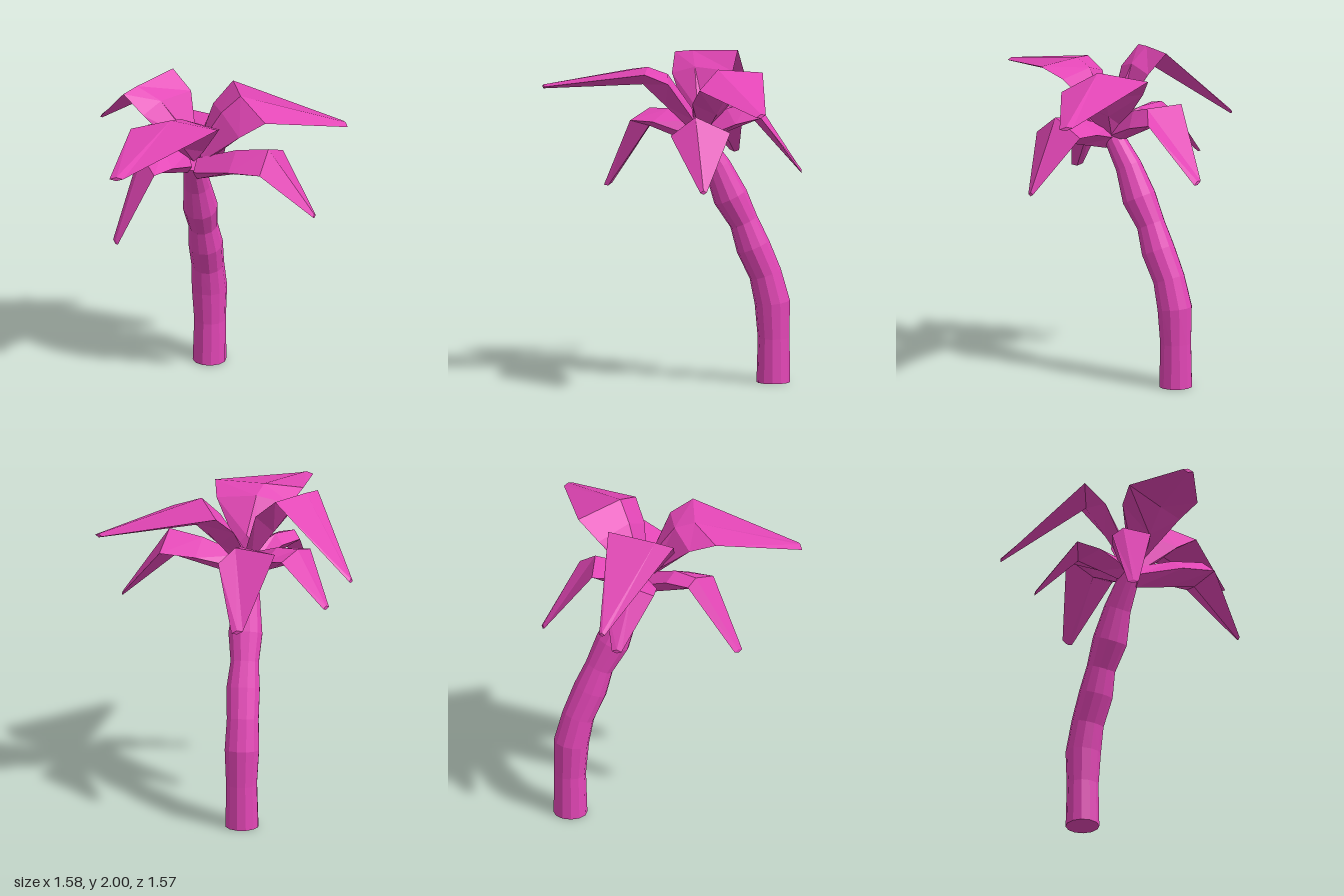
import * as THREE from 'three';

const V = (a) => new THREE.Vector3(...a);

// Skins a list of rings (counter-clockwise about the path), with both ends closed.
function loft(rings) {
  const pos = [];
  const tri = (...pts) => pts.forEach((p) => pos.push(p.x, p.y, p.z));
  const n = rings[0].length;
  for (let i = 0; i < rings.length - 1; i++) {
    for (let j = 0; j < n; j++) {
      const k = (j + 1) % n;
      const [a, b, c, d] = [rings[i][j], rings[i][k], rings[i + 1][j], rings[i + 1][k]];
      tri(a, b, c);
      tri(b, d, c);
    }
  }
  const first = rings[0], last = rings[rings.length - 1];
  for (let j = 1; j < n - 1; j++) {
    tri(first[0], first[j + 1], first[j]);
    tri(last[0], last[j], last[j + 1]);
  }
  const g = new THREE.BufferGeometry();
  g.setAttribute('position', new THREE.Float32BufferAttribute(pos, 3));
  g.computeVertexNormals();
  return g;
}

// Trunk stations: x, y, z, radius
const TRUNK = [
  [-0.15, 0, -0.613, 0.102], [-0.148, 0.27, -0.615, 0.096], [-0.148, 0.485, -0.607, 0.107],
  [-0.14, 0.66, -0.565, 0.099], [-0.12, 0.83, -0.492, 0.104], [-0.113, 0.98, -0.437, 0.088],
  [-0.093, 1.135, -0.357, 0.106], [-0.08, 1.32, -0.28, 0.082], [-0.05, 1.52, -0.16, 0.06],
];

function trunkGeometry(sides = 12) {
  const rings = TRUNK.map(([x, y, z, r], i) => {
    const p = V([x, y, z]);
    const before = V(TRUNK[Math.max(i - 1, 0)]), after = V(TRUNK[Math.min(i + 1, TRUNK.length - 1)]);
    const t = i === 0 ? V([0, 1, 0]) : after.sub(before).normalize();
    const v = V([1, 0, 0]).cross(t).negate().normalize();
    const u = v.clone().cross(t).normalize();
    return Array.from({ length: sides }, (_, j) => {
      const a = (j / sides) * Math.PI * 2;
      return p.clone().addScaledVector(u, r * Math.cos(a)).addScaledVector(v, r * Math.sin(a));
    });
  });
  return loft(rings);
}

// Each frond: root, then left edge, ridge and right edge at its widest, then tip and its half width.
// The neck between root and widest section is arched by rise and broadened by bulge.
const FRONDS = [
  { name: 'frontFrond', root: [-0.03, 1.61, -0.13], left: [0.25, 1.92, 0.14], ridge: [-0.06, 1.925, 0.14], right: [-0.27, 1.88, 0.26], tip: [-0.13, 1.79, 0.775], tipWidth: 0.042, rise: 0.07, bulge: 0.05 },
  { name: 'backLeftFrond', root: [-0.03, 1.55, -0.19], left: [0.03, 1.91, -0.56], ridge: [0.2, 1.95, -0.3], right: [0.41, 1.85, -0.2], tip: [0.76, 1.75, -0.595], tipWidth: 0.04, rise: 0.04, bulge: 0.04 },
  { name: 'rightFrond', root: [-0.07, 1.6, -0.16], left: [-0.44, 1.965, 0], ridge: [-0.4, 1.98, -0.11], right: [-0.29, 2, -0.39], tip: [-0.785, 1.565, -0.445], tipWidth: 0.018, rise: 0.06, bulge: 0.06 },
  { name: 'backFrond', root: [-0.06, 1.52, -0.19], left: [-0.32, 1.7, -0.49], ridge: [-0.06, 1.71, -0.46], right: [0.02, 1.63, -0.55], tip: [-0.17, 1.285, -0.78], tipWidth: 0.035, rise: 0.02, bulge: 0.02 },
  { name: 'leftLowFrond', root: [-0.02, 1.49, -0.15], left: [0.44, 1.6, -0.39], ridge: [0.44, 1.695, -0.18], right: [0.45, 1.58, -0.03], tip: [0.715, 1.275, -0.245], tipWidth: 0.02, rise: 0.02, bulge: 0.02 },
  { name: 'frontLowFrond', root: [-0.07, 1.53, -0.13], left: [-0.12, 1.59, 0.25], ridge: [-0.25, 1.65, 0.14], right: [-0.3, 1.61, 0.09], tip: [-0.31, 1.175, 0.395], tipWidth: 0.035, rise: 0.03, bulge: 0.02 },
  { name: 'rightLowFrond', root: [-0.08, 1.52, -0.17], left: [-0.43, 1.63, -0.12], ridge: [-0.39, 1.665, -0.25], right: [-0.34, 1.63, -0.42], tip: [-0.6, 1.345, -0.35], tipWidth: 0.03, rise: 0.02, bulge: 0.02 },
];

function frondGeometry(f) {
  const root = V(f.root), tip = V(f.tip);
  const left = V(f.left), ridge = V(f.ridge), right = V(f.right);
  const keel = left.clone().lerp(right, 0.5).lerp(root, 0.1);
  keel.y -= 0.045;
  const wide = [left, ridge, right, keel];
  const across = left.clone().sub(right).normalize();
  // small diamond section for the two ends
  const end = (p, w, h) => [
    p.clone().addScaledVector(across, w), p.clone().add(V([0, h, 0])),
    p.clone().addScaledVector(across, -w), p.clone().add(V([0, -h, 0])),
  ];
  const start = end(root, 0.06, 0.07);
  const neck = wide.map((p, j) => start[j].clone().lerp(p, 0.55));
  neck.slice(0, 3).forEach((p) => { p.y += f.rise; });
  neck[0].addScaledVector(across, f.bulge);
  neck[2].addScaledVector(across, -f.bulge);
  return loft([start, neck, wide, end(tip, f.tipWidth, 0.012)]);
}

export function createModel() {
  const palm = new THREE.MeshStandardMaterial({ color: 0xe346b6, flatShading: true });
  palm.name = 'magenta';
  const model = new THREE.Group();
  model.name = 'palmTree';
  const add = (name, geometry) => {
    const mesh = new THREE.Mesh(geometry, palm);
    mesh.name = name;
    model.add(mesh);
  };

  add('trunk', trunkGeometry());
  FRONDS.forEach((f) => add(f.name, frondGeometry(f)));
  return model;
}
